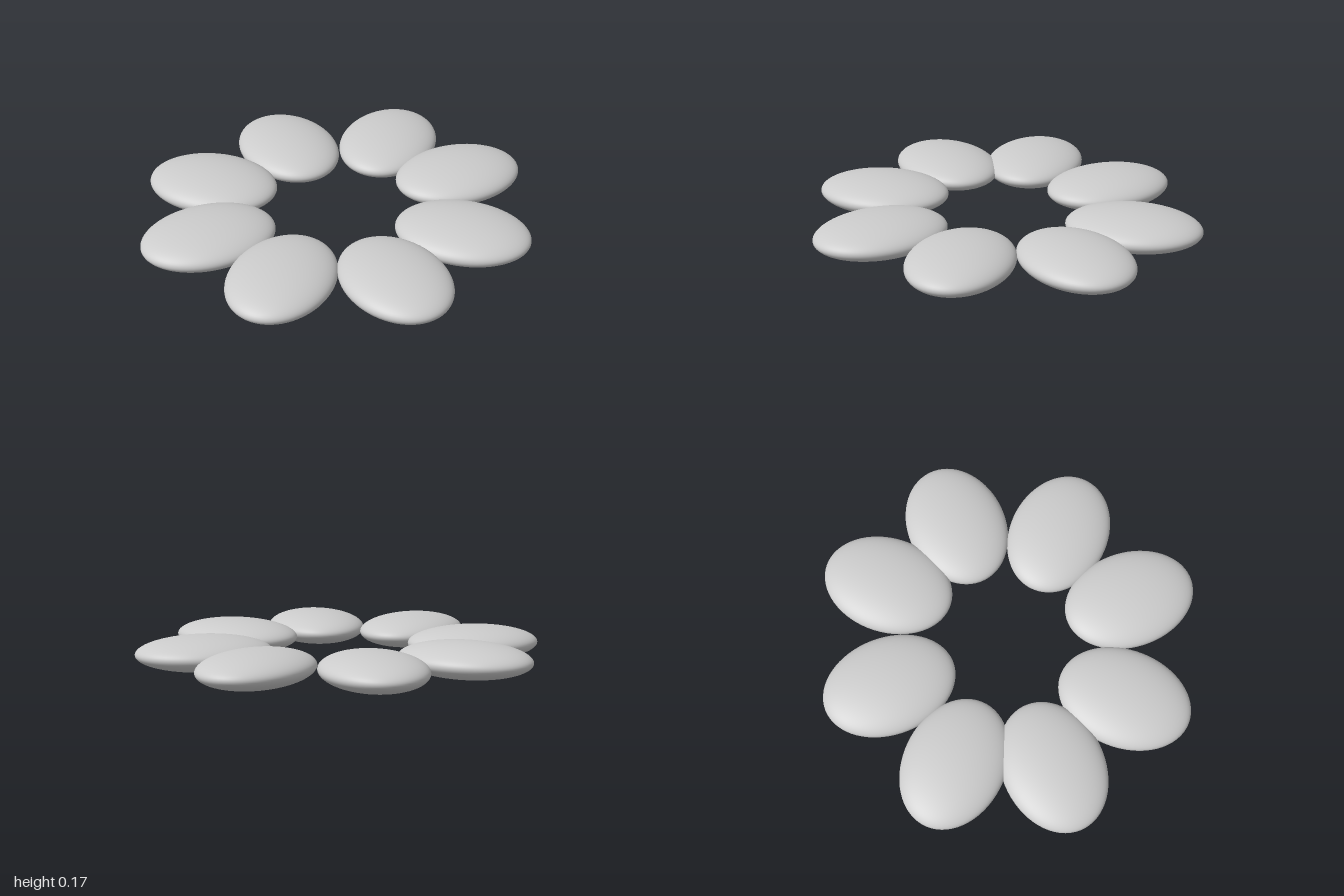
import * as THREE from 'three';

// Petal centres [x, z]; petal i points outward at i * 45 degrees (from +x towards +z)
const CENTRES = [
  [0.67, -0.02], [0.433, 0.441], [-0.028, 0.624], [-0.489, 0.393],
  [-0.67, -0.057], [-0.478, -0.483], [0.003, -0.633], [0.498, -0.453],
];
const LENGTH = 0.33, HEIGHT = 0.083, WIDTH = 0.247; // half sizes

export function createModel() {
  const group = new THREE.Group();
  group.name = 'petalRing';
  const material = new THREE.MeshStandardMaterial({ color: 0xcccccc });

  // One flattened ellipsoid, shared by all petals
  const geometry = new THREE.SphereGeometry(1, 64, 40);
  geometry.scale(LENGTH, HEIGHT, WIDTH);

  CENTRES.forEach(([x, z], i) => {
    const petal = new THREE.Mesh(geometry, material);
    petal.name = `petal${i + 1}`;
    petal.position.set(x, HEIGHT, z);
    petal.rotation.y = -i * Math.PI / 4;
    group.add(petal);
  });
  return group;
}
